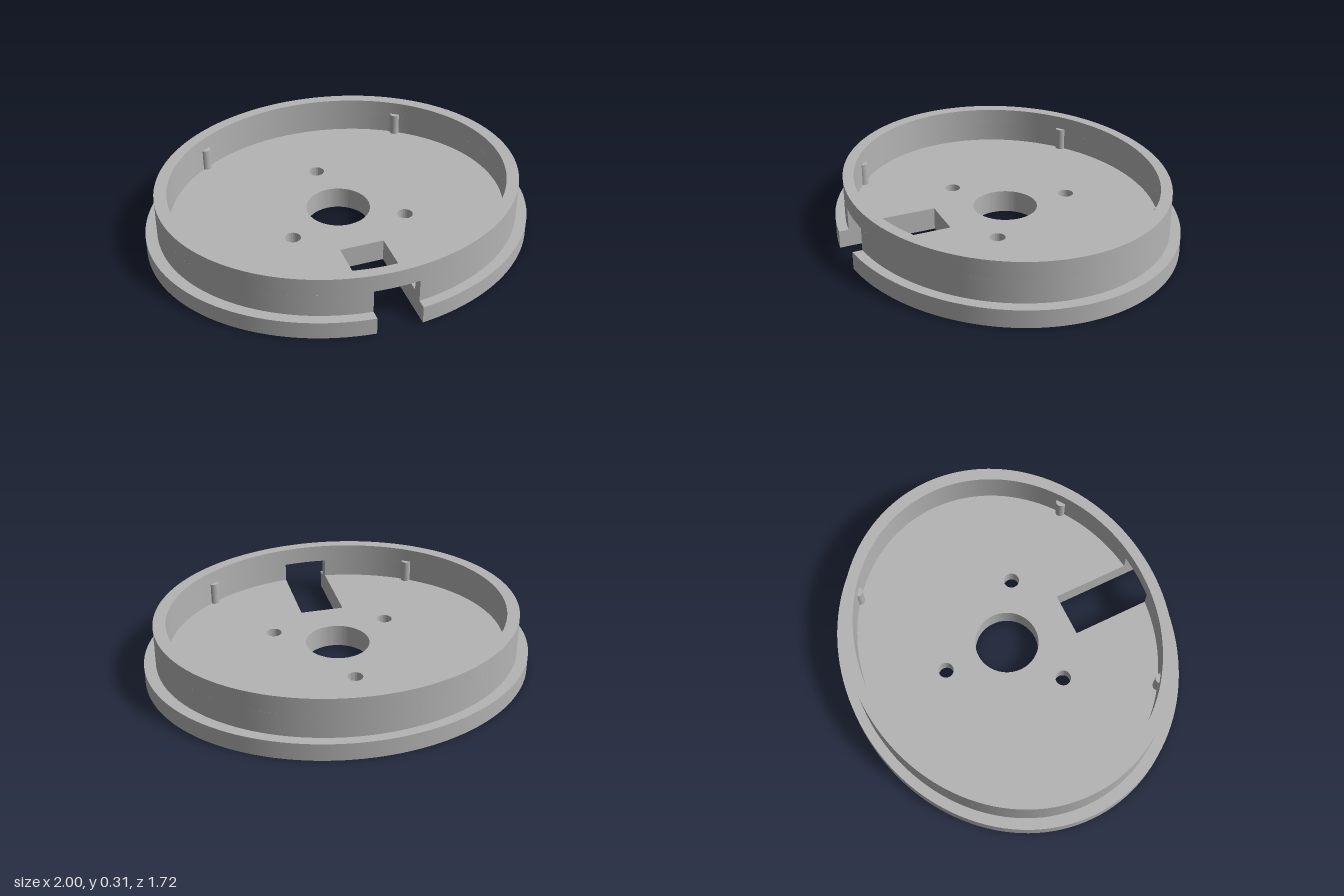
import * as THREE from 'three';
import { toCreasedNormals } from 'three/addons/utils/BufferGeometryUtils.js';

const FLANGE = [1, 0.865], OUTER = [0.94, 0.815], INNER = [0.875, 0.76];
const SLOT_HALF = 0.115, SLOT_END = 0.35;
const CSK = 0.04, POCKET = 0.06, FLANGE_TOP = 0.092, FLOOR = 0.118, GATE = 0.213, TOP = 0.305;

const screws = [[0, -0.35], [-0.303, 0.175], [0.303, 0.175]];
const corners = [[1, 1], [1, -1], [-1, 1], [-1, -1]];
const pockets = corners.map(([x, z]) => [x * 0.48, z * 0.49]);

// Points along an ellipse, leaving out the slot at the front (shape y = -z)
function openArc([rx, ry], n = 128) {
  const gap = Math.asin(SLOT_HALF / rx);
  return Array.from({ length: n + 1 }, (_, i) => {
    const a = -Math.PI / 2 + gap + (i / n) * (2 * Math.PI - 2 * gap);
    return new THREE.Vector2(rx * Math.cos(a), ry * Math.sin(a));
  });
}

function round(x, z, rx, ry = rx) {
  return new THREE.Path().absellipse(x, -z, rx, ry, 0, Math.PI * 2, true);
}

// Slotted oval plate with the centre bore, screw holes and optional pockets
function plateShape(radii, screwRadius, withPockets) {
  const shape = new THREE.Shape([
    ...openArc(radii),
    new THREE.Vector2(-SLOT_HALF, -SLOT_END),
    new THREE.Vector2(SLOT_HALF, -SLOT_END),
  ]);
  shape.holes.push(round(0, 0, 0.165));
  screws.forEach(([x, z]) => shape.holes.push(round(x, z, screwRadius)));
  if (withPockets) pockets.forEach(([x, z]) => shape.holes.push(round(x, z, 0.103)));
  return shape;
}

export function createModel() {
  const group = new THREE.Group();
  const grey = new THREE.MeshStandardMaterial({ color: 0xb4b4b4 });
  grey.name = 'grey plastic';
  const greyInside = new THREE.MeshStandardMaterial({ color: 0xb4b4b4, side: THREE.BackSide });
  greyInside.name = 'grey plastic inner face';

  function add(name, geometry, material = grey) {
    const mesh = new THREE.Mesh(geometry, material);
    mesh.name = name;
    group.add(mesh);
    return mesh;
  }

  function slab(name, shape, y0, y1) {
    const geo = new THREE.ExtrudeGeometry(shape, { depth: y1 - y0, bevelEnabled: false, curveSegments: 64 });
    geo.rotateX(-Math.PI / 2);
    geo.translate(0, y0, 0);
    add(name, toCreasedNormals(geo, 0.5));
  }

  // Flange, layered where the countersinks and blind pockets stop
  slab('flangeBottom', plateShape(FLANGE, 0.08, true), 0, CSK);
  slab('flangeMiddle', plateShape(FLANGE, 0.04, true), CSK, POCKET);
  slab('flangeTop', plateShape(FLANGE, 0.04, false), POCKET, FLANGE_TOP);

  // Raised floor inside the wall
  slab('floor', plateShape(OUTER, 0.04, false), FLANGE_TOP, FLOOR);

  // Wall: open at the slot below, a closed ring above
  const lowerWall = new THREE.Shape([...openArc(OUTER), ...openArc(INNER).reverse()]);
  slab('lowerWall', lowerWall, FLOOR, GATE);
  const upperWall = new THREE.Shape().absellipse(0, 0, ...OUTER, 0, Math.PI * 2, false);
  upperWall.holes.push(round(0, 0, ...INNER));
  slab('upperWall', upperWall, GATE, TOP);

  // Conical countersinks under the screw holes
  screws.forEach(([x, z]) => {
    const cone = new THREE.CylinderGeometry(0.04, 0.08, CSK, 48, 1, true);
    add('countersink', cone, greyInside).position.set(x, CSK / 2, z);
  });

  // Small vertical ribs on the inside of the wall
  corners.forEach(([sx, sz]) => {
    const rib = new THREE.CylinderGeometry(0.026, 0.026, 0.117, 24);
    add('wallRib', rib).position.set(sx * 0.552, FLOOR + 0.0585, sz * 0.592);
  });

  return group;
}
